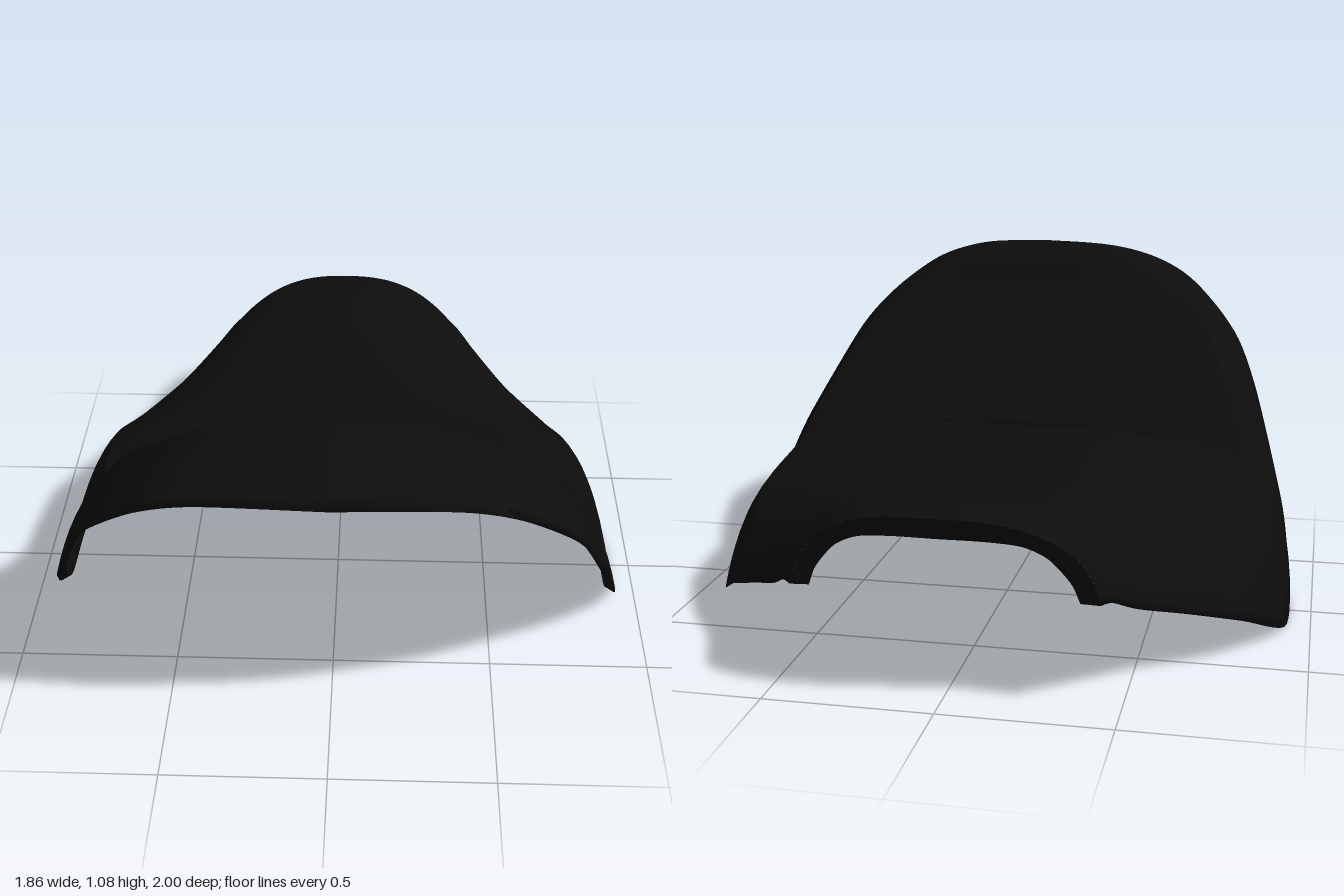
import * as THREE from 'three';

// Stations from the rear to the front, left half:
// spine [y, z], seam [x, y, z], lower edge [x, y, z]
const STATIONS = [
  [[0.56, -1.0], [0.38, 0.44, -0.905], [0.44, 0.31, -0.895]],
  [[0.58, -0.94], [0.4, 0.44, -0.86], [0.47, 0.31, -0.865]],
  [[0.57, -0.84], [0.45, 0.41, -0.78], [0.53, 0.265, -0.78]],
  [[0.52, -0.67], [0.57, 0.34, -0.62], [0.65, 0.2, -0.62]],
  [[0.495, -0.48], [0.72, 0.28, -0.46], [0.8, 0.13, -0.46]],
  [[0.487, -0.2], [0.77, 0.38, -0.2], [0.92, 0.012, -0.18]],
  [[0.52, 0.08], [0.765, 0.43, 0.07], [0.93, 0.01, 0.12]],
  [[0.525, 0.175], [0.755, 0.45, 0.15], [0.92, 0.08, 0.23]],
  [[0.55, 0.195], [0.745, 0.49, 0.2], [0.91, 0.13, 0.28]],
  [[0.67, 0.34], [0.71, 0.6, 0.32], [0.88, 0.26, 0.4]],
  [[0.92, 0.56], [0.58, 0.85, 0.55], [0.77, 0.58, 0.665]],
  [[1.02, 0.62], [0.46, 0.96, 0.64], [0.68, 0.76, 0.8]],
  [[1.07, 0.67], [0.34, 1.04, 0.69], [0.52, 0.92, 0.92]],
  [[1.083, 0.7], [0.2, 1.078, 0.711], [0.35, 0.987, 0.973]],
  [[1.086, 0.72], [0, 1.086, 0.72], [0, 1.0, 1.0]],
];

const curve = (points) => new THREE.CatmullRomCurve3(points.map((p) => new THREE.Vector3(...p)), false, 'catmullrom', 0.4);
const spine = curve(STATIONS.map(([c]) => [0, ...c]));
const seam = curve(STATIONS.map((s) => s[1]));
const edge = curve(STATIONS.map((s) => s[2]));
const notch = curve([[0, 0.49, -0.955], [0.13, 0.487, -0.945], [0.23, 0.475, -0.93], [0.3, 0.44, -0.915], [0.36, 0.37, -0.9], [0.385, 0.31, -0.89]]);

// Cushion: flat in the middle, falling away to the seam
function panelPoint(u, t) {
  const c = spine.getPoint(t), s = seam.getPoint(t), a = Math.abs(u);
  return new THREE.Vector3(u * s.x, c.y + (s.y - c.y) * a ** 3, c.z + (s.z - c.z) * a * a);
}

// Skirt: rounded from the seam to the lower edge, then a short hem turned in
function skirtPoint(t, v) {
  const s = seam.getPoint(t), e = edge.getPoint(t);
  if (v > 1) return new THREE.Vector3(e.x * 0.965, e.y + 0.02, e.z * 0.975);
  const k = s.clone().lerp(e, 0.65);
  k.y = s.y + (e.y - s.y) * 0.3;
  return s.multiplyScalar((1 - v) ** 2).addScaledVector(k, 2 * v * (1 - v)).addScaledVector(e, v * v);
}

// Surface over an (a, b) grid, both running from 0 to 1
function surface(name, na, nb, point, material) {
  const positions = [], index = [];
  for (let j = 0; j <= nb; j++) {
    for (let i = 0; i <= na; i++) positions.push(...point(i / na, j / nb).toArray());
  }
  for (let j = 0; j < nb; j++) {
    for (let i = 0; i < na; i++) {
      const p = j * (na + 1) + i, q = p + na + 1;
      index.push(p, q, p + 1, p + 1, q, q + 1);
    }
  }
  const geometry = new THREE.BufferGeometry();
  geometry.setAttribute('position', new THREE.Float32BufferAttribute(positions, 3));
  geometry.setIndex(index);
  geometry.computeVertexNormals();
  const mesh = new THREE.Mesh(geometry, material);
  mesh.name = name;
  return mesh;
}

export function createModel() {
  const group = new THREE.Group();
  group.name = 'saddleSeat';
  const black = new THREE.MeshStandardMaterial({ color: 0x0d0d0d, side: THREE.DoubleSide });
  black.name = 'black';

  // Top cushion with the cross crease
  group.add(surface('cushion', 32, 84, (a, b) => panelPoint(a * 2 - 1, b), black));

  // Skirt wrapping round both sides and the front
  group.add(surface('skirt', 168, 9, (a, b) => {
    const w = a * 2 - 1;
    const p = skirtPoint(1 - Math.abs(w), b * 9 / 8);
    p.x *= Math.sign(w);
    return p;
  }, black));

  // Rear flap turned down to the arched notch
  group.add(surface('rearFlap', 60, 4, (a, b) => {
    const w = 1 - a * 2, m = Math.abs(w);
    const outer = m < 0.8 ? panelPoint(m / 0.8, 0) : skirtPoint(0, (m - 0.8) / 0.2);
    const p = outer.lerp(notch.getPoint(m), b);
    p.x *= Math.sign(w);
    return p;
  }, black));

  return group;
}
